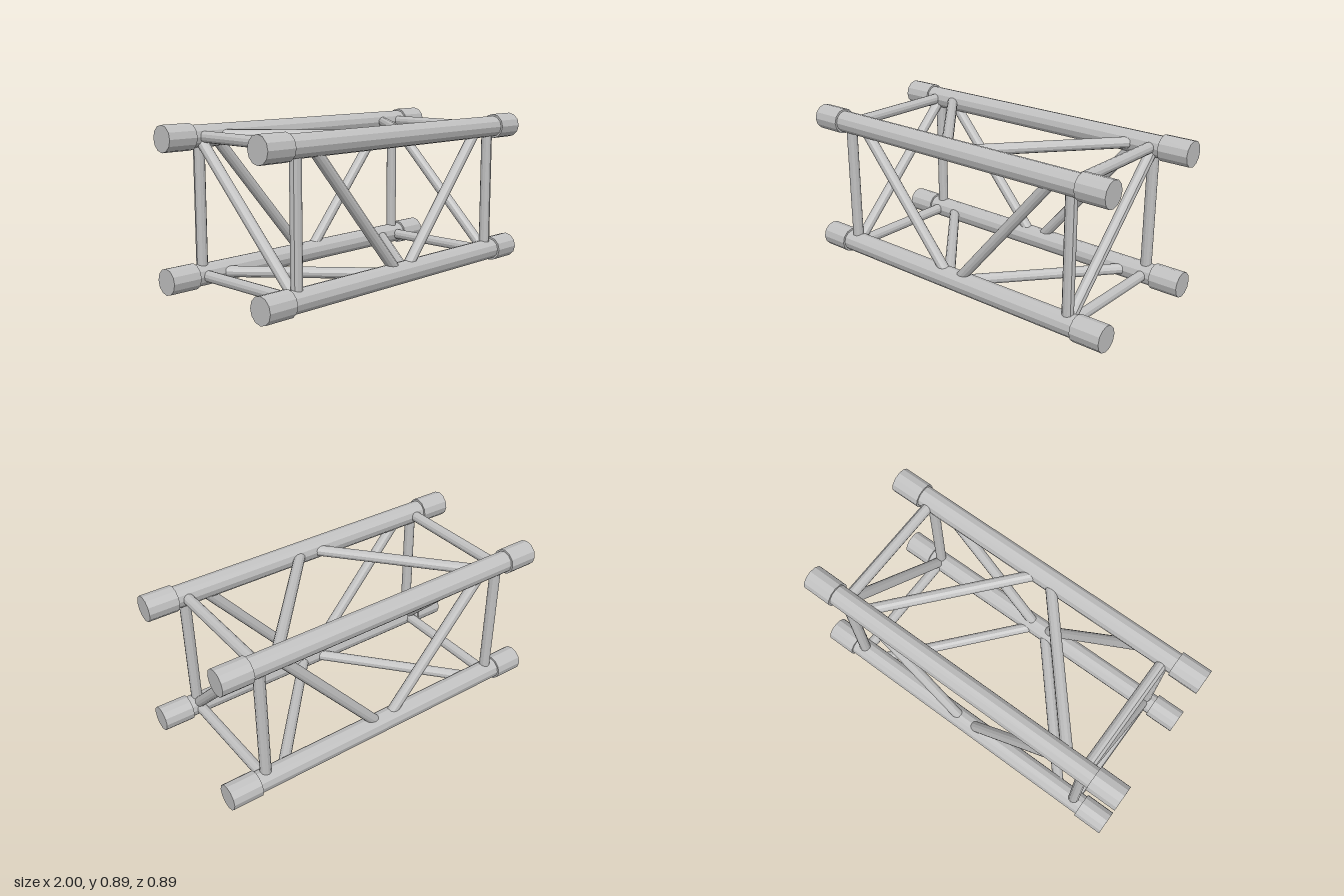
import * as THREE from 'three';

export function createModel() {
  const model = new THREE.Group();
  model.name = 'boxTruss';

  const aluminium = new THREE.MeshStandardMaterial({ color: 0xc0c0c0, flatShading: true });
  aluminium.name = 'aluminium grey';

  const LOW = 0.074, HIGH = 0.82, Z = 0.373; // chord centre lines
  const FRAME_X = 0.77;                      // end frames
  const UP = new THREE.Vector3(0, 1, 0);

  // twelve-sided tube between two points
  function tube(name, a, b, radius) {
    const from = new THREE.Vector3(...a);
    const dir = new THREE.Vector3(...b).sub(from);
    const mesh = new THREE.Mesh(new THREE.CylinderGeometry(radius, radius, dir.length(), 12), aluminium);
    mesh.name = name;
    mesh.position.copy(from).addScaledVector(dir, 0.5);
    mesh.quaternion.setFromUnitVectors(UP, dir.normalize());
    model.add(mesh);
  }
  const brace = (name, a, b) => tube(name, a, b, 0.031);

  // four main chords with thicker end sleeves
  for (const y of [LOW, HIGH]) {
    for (const z of [-Z, Z]) {
      tube('chord', [-0.9, y, z], [0.9, y, z], 0.061);
      for (const s of [-1, 1]) tube('endSleeve', [s * 0.828, y, z], [s, y, z], 0.072);
    }
  }

  for (const s of [-1, 1]) {
    const x = s * FRAME_X;
    // square end frame
    for (const z of [-Z, Z]) brace('upright', [x, LOW, z], [x, HIGH, z]);
    for (const y of [LOW, HIGH]) brace('crossbar', [x, y, -Z], [x, y, Z]);
    brace('frameDiagonal', [x, LOW, Z], [x, HIGH, -Z]);

    // V-shaped bracing on the four long faces
    const outer = s * 0.67, inner = s * 0.03;
    for (const z of [-Z, Z]) brace('sideDiagonal', [outer, HIGH, z], [inner, LOW, z]);
    for (const y of [LOW, HIGH]) brace('flatDiagonal', [outer, y, -Z], [inner, y, Z]);
  }

  return model;
}
